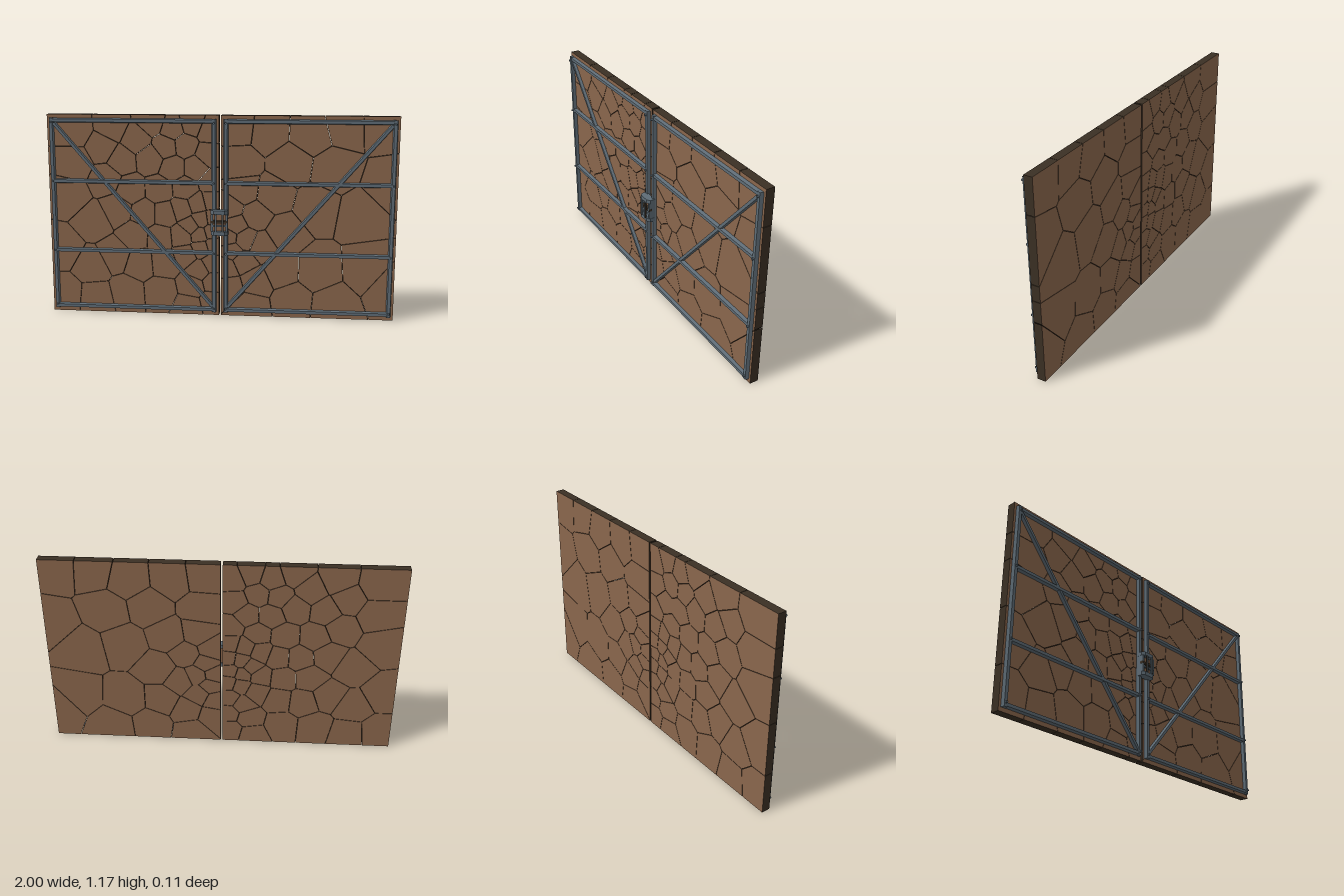
import * as THREE from 'three';

const material = (name, color) => Object.assign(new THREE.MeshStandardMaterial({ color }), { name });

const H = 1.17, BACK = -0.055, FACE = -0.005, GAP = 0.0013;

// Shard centres (x outward from the middle, y), crowded round the lock
const RIGHT = [
  [0.1, 1.1], [0.27, 1.08], [0.51, 1.07], [0.7, 1.12], [0.9, 1.13], [0.11, 0.9], [0.4, 0.9], [0.64, 0.87],
  [0.95, 0.78], [0.8, 0.62], [0.55, 0.66], [0.3, 0.72], [0.13, 0.74], [0.06, 0.64], [0.2, 0.6], [0.36, 0.5],
  [0.09, 0.54], [0.05, 0.47], [0.14, 0.46], [0.24, 0.42], [0.07, 0.39], [0.13, 0.33], [0.04, 0.29], [0.35, 0.28],
  [0.56, 0.28], [0.85, 0.3], [0.06, 0.17], [0.2, 0.21], [0.17, 0.06], [0.42, 0.1], [0.65, 0.08], [0.97, 0.2]];
const LEFT = [
  [0.06, 1.08], [0.16, 1.12], [0.27, 1.09], [0.39, 1.13], [0.48, 1.03], [0.62, 1.1], [0.84, 1.08], [0.2, 1.0],
  [0.31, 0.99], [0.07, 0.95], [0.14, 0.87], [0.27, 0.87], [0.4, 0.92], [0.57, 0.91], [0.68, 0.98], [0.84, 0.89],
  [0.05, 0.79], [0.2, 0.75], [0.35, 0.74], [0.52, 0.74], [0.66, 0.8], [0.88, 0.7], [0.05, 0.68], [0.13, 0.66],
  [0.22, 0.63], [0.32, 0.6], [0.44, 0.6], [0.6, 0.62], [0.74, 0.55], [0.04, 0.58], [0.11, 0.57], [0.17, 0.53],
  [0.05, 0.5], [0.12, 0.48], [0.22, 0.47], [0.35, 0.46], [0.5, 0.47], [0.04, 0.42], [0.11, 0.4], [0.2, 0.36],
  [0.33, 0.31], [0.47, 0.3], [0.62, 0.35], [0.76, 0.28], [0.93, 0.38], [0.05, 0.31], [0.12, 0.27], [0.04, 0.2],
  [0.16, 0.17], [0.05, 0.08], [0.18, 0.05], [0.35, 0.13], [0.55, 0.12], [0.74, 0.08], [0.93, 0.1]];

// Keep the part of a polygon nearer to seed s than to seed t, less a hairline gap
function clip(poly, s, t) {
  const dx = t[0] - s[0], dy = t[1] - s[1], len = Math.hypot(dx, dy);
  const dist = p => ((p[0] - s[0]) * dx + (p[1] - s[1]) * dy) / len - len / 2 + GAP;
  const out = [];
  poly.forEach((p, i) => {
    const q = poly[(i + 1) % poly.length], a = dist(p), b = dist(q);
    if (a <= 0) out.push(p);
    if (a * b < 0) {
      const k = a / (a - b);
      out.push([p[0] + (q[0] - p[0]) * k, p[1] + (q[1] - p[1]) * k]);
    }
  });
  return out;
}

// One cracked panel: every shard is an extruded cell
function crackedPanel(name, seeds, side, mats) {
  const group = new THREE.Group();
  group.name = name;
  for (const s of seeds) {
    let poly = [[0.006, 0], [1, 0], [1, H], [0.006, H]];
    for (const t of seeds) if (t !== s) poly = clip(poly, s, t);
    if (poly.length < 3) continue;
    const shape = new THREE.Shape(poly.map(p => new THREE.Vector2(p[0] * side, p[1])));
    const geo = new THREE.ExtrudeGeometry(shape, { depth: FACE - BACK, bevelEnabled: false });
    geo.translate(0, 0, BACK);
    const shard = new THREE.Mesh(geo, mats);
    shard.name = 'panelShard';
    group.add(shard);
  }
  return group;
}

// Metal bar from a to b with chamfered long edges on the front
function bar(name, a, b, width, front, mat) {
  const dx = b[0] - a[0], dy = b[1] - a[1], depth = front - FACE;
  const geo = new THREE.BoxGeometry(Math.hypot(dx, dy), width, depth);
  const pos = geo.attributes.position;
  for (let i = 0; i < pos.count; i++) if (pos.getZ(i) > 0) pos.setY(i, pos.getY(i) * 0.65);
  geo.computeVertexNormals();
  const mesh = new THREE.Mesh(geo, mat);
  mesh.name = name;
  mesh.position.set((a[0] + b[0]) / 2, (a[1] + b[1]) / 2, FACE + depth / 2);
  mesh.rotation.z = Math.atan2(dy, dx);
  return mesh;
}

function box(name, w, h, d, x, y, z, mat) {
  const mesh = new THREE.Mesh(new THREE.BoxGeometry(w, h, d), mat);
  mesh.name = name;
  mesh.position.set(x, y, z);
  return mesh;
}

// Octagonal lock cap with chamfered front corners
function lockCap(name, y, h, mat) {
  const shape = new THREE.Shape([[-0.049, 0.005], [0.049, 0.005], [0.049, 0.035], [0.032, 0.051], [-0.032, 0.051],
    [-0.049, 0.035]].map(p => new THREE.Vector2(p[0], -p[1])));
  const geo = new THREE.ExtrudeGeometry(shape, { depth: h, bevelEnabled: false });
  geo.rotateX(-Math.PI / 2);
  const mesh = new THREE.Mesh(geo, mat);
  mesh.name = name;
  mesh.position.y = y;
  return mesh;
}

export function createModel() {
  const wood = material('brown panel', 0x8a664c);
  const core = material('dark panel edge', 0x3b3024);
  const steel = material('blue grey steel', 0x5e6c76);

  const gate = new THREE.Group();
  gate.name = 'doubleGate';

  for (const side of [-1, 1]) {
    const leaf = new THREE.Group();
    leaf.name = side > 0 ? 'leftLeaf' : 'rightLeaf';
    leaf.add(crackedPanel('crackedPanel', side > 0 ? RIGHT : LEFT, side, [wood, core]));

    // Frame uprights, rails and brace
    const inner = 0.034 * side, outer = 0.973 * side;
    for (const x of [inner, outer]) leaf.add(bar('upright', [x, 0.022], [x, 1.15], 0.027, 0.015, steel));
    for (const y of [0.036, 0.375, 0.785, 1.136])
      leaf.add(bar('rail', [inner, y], [outer, y], 0.026, 0.014, steel));
    leaf.add(bar('diagonalBrace', [0.045 * side, 0.055], [0.96 * side, 1.12], 0.024, 0.012, steel));

    // Bolts where rails meet uprights
    for (const x of [inner, outer]) for (const y of [0.044, 0.375, 0.785, 1.127]) {
      const bolt = new THREE.Mesh(new THREE.CylinderGeometry(0.006, 0.006, 0.012, 8), steel);
      bolt.name = 'bolt';
      bolt.rotation.x = Math.PI / 2;
      bolt.position.set(x, y, 0.019);
      leaf.add(bolt);
    }
    gate.add(leaf);
  }

  // Lock cage bridging both leaves
  const lock = new THREE.Group();
  lock.name = 'lock';
  lock.add(lockCap('lockTop', 0.612, 0.022, steel), lockCap('lockBottom', 0.49, 0.022, steel));
  for (const s of [-1, 1]) {
    lock.add(box('lockSide', 0.012, 0.1, 0.04, 0.042 * s, 0.562, 0.026, steel));
    lock.add(box('lockBar', 0.008, 0.1, 0.008, 0.018 * s, 0.562, 0.054, steel));
    lock.add(box('lockBarEdge', 0.004, 0.1, 0.008, 0.024 * s, 0.562, 0.054, core));
  }
  lock.add(box('lockPlate', 0.074, 0.1, 0.012, 0, 0.562, 0.02, wood));
  lock.add(box('latch', 0.098, 0.014, 0.02, 0, 0.568, 0.036, core));
  lock.add(box('latchRail', 0.08, 0.01, 0.012, 0, 0.545, 0.042, steel));
  gate.add(lock);

  return gate;
}
